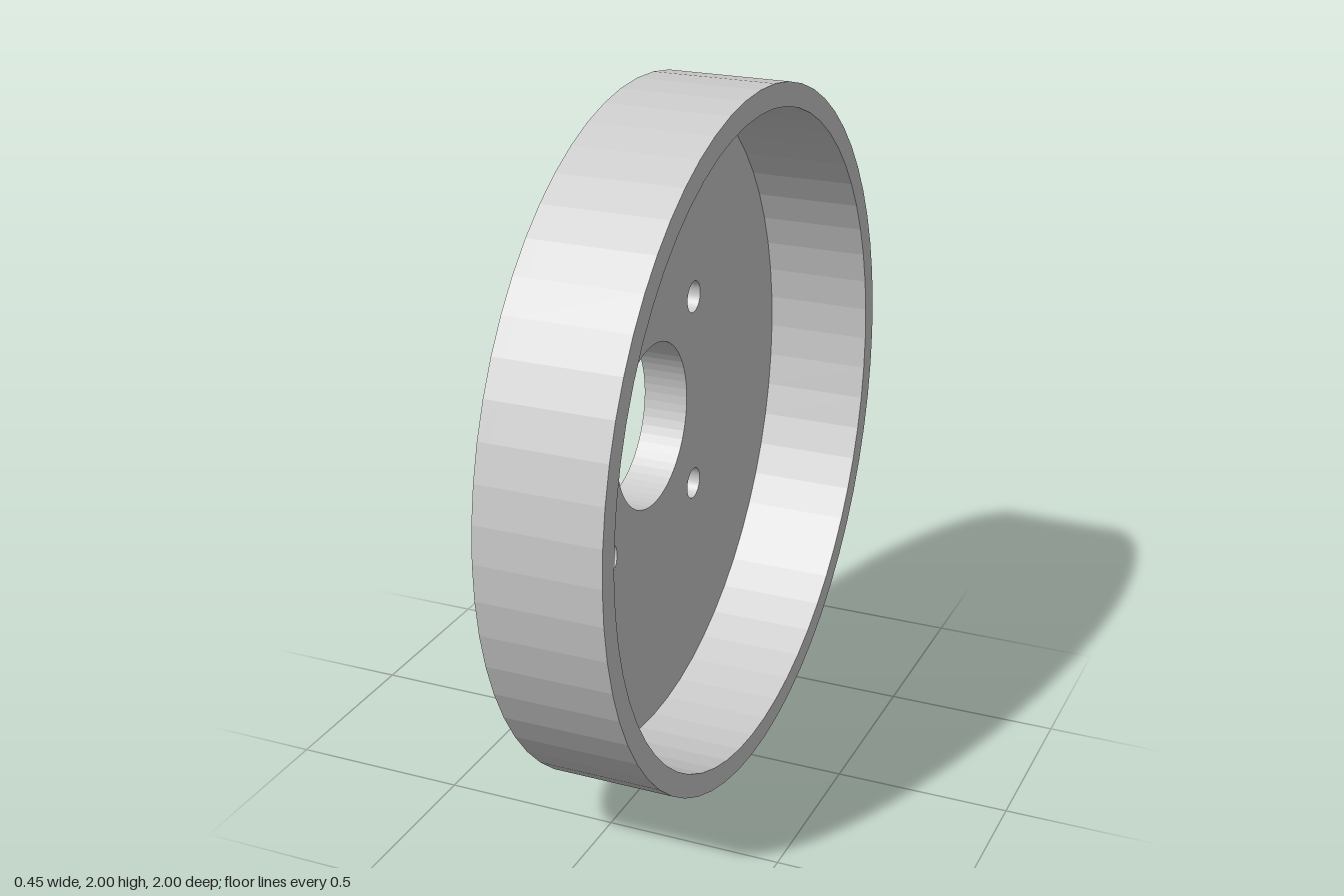
import * as THREE from 'three';

const material = new THREE.MeshStandardMaterial({ color: 0xcccccc, flatShading: true });

// Round plate with circular holes [x, y, radius], spanning z0..z1 along its axis
function disc(name, radius, z0, z1, holes) {
  const shape = new THREE.Shape().absarc(0, 0, radius, 0, Math.PI * 2, false);
  for (const [x, y, r] of holes) {
    shape.holes.push(new THREE.Path().absarc(x, y, r, 0, Math.PI * 2, true));
  }
  const geometry = new THREE.ExtrudeGeometry(shape, {
    depth: z1 - z0, bevelEnabled: false, curveSegments: 30,
  });
  geometry.translate(0, 0, z0);
  const mesh = new THREE.Mesh(geometry, material);
  mesh.name = name;
  return mesh;
}

export function createModel() {
  const drum = new THREE.Group();
  drum.name = 'drum';

  const bore = [0, 0, 0.243];
  const boltHoles = [];
  for (const x of [-1, 1]) {
    for (const y of [-1, 1]) boltHoles.push([x * 0.295, y * 0.295, 0.047]);
  }

  // Drum floor with centre bore and four bolt holes, and the outer wall on it
  drum.add(disc('floorPlate', 1, -0.13, -0.09, [bore, ...boltHoles]));
  drum.add(disc('rimWall', 1, -0.09, 0.225, [[0, 0, 0.933]]));

  // Stepped hub behind the floor
  drum.add(disc('hubCollar', 0.325, -0.15, -0.13, [bore]));
  drum.add(disc('hubRing', 0.305, -0.225, -0.15, [bore]));

  // Axis along x, open side towards +x, standing on the ground
  drum.rotation.y = Math.PI / 2;
  drum.position.y = 1;

  const model = new THREE.Group();
  model.name = 'brakeDrum';
  model.add(drum);
  return model;
}
